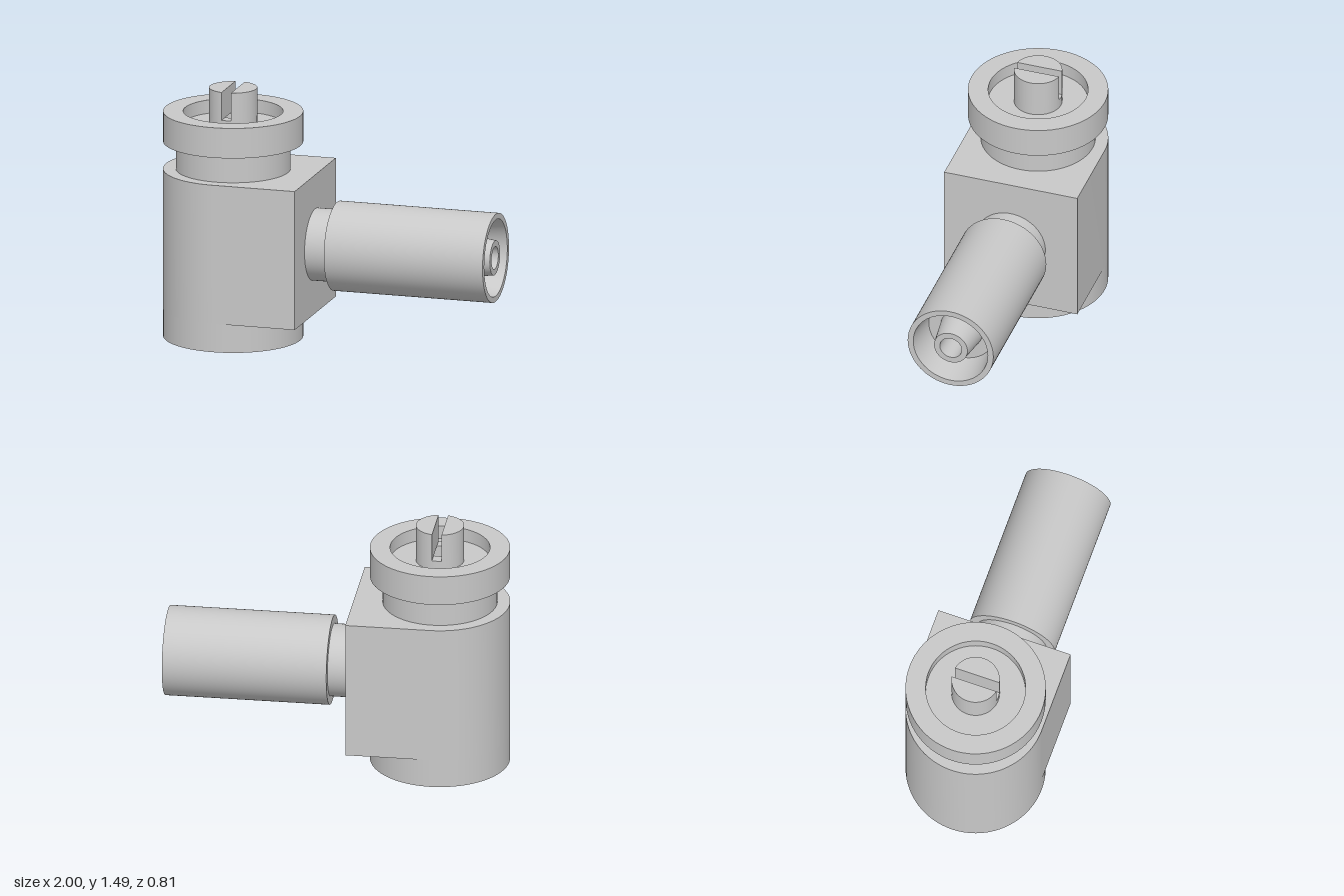
import * as THREE from 'three';
import { mergeGeometries, toCreasedNormals } from 'three/addons/utils/BufferGeometryUtils.js';

const AXIS_X = -0.593; // vertical axis of the body
const ARM_Y = 0.585;   // height of the side arm axis
const R = 0.407;       // body radius

// Turned part with crisp edges: one lathe band per profile segment
function turned(profile) {
  const bands = [];
  for (let i = 0; i < profile.length - 1; i++) {
    const pair = [profile[i], profile[i + 1]].map(([r, y]) => new THREE.Vector2(r, y));
    bands.push(new THREE.LatheGeometry(pair, 72));
  }
  return mergeGeometries(bands);
}

// Plan outline extruded upward from y0 to y1
function upright(shape, y0, y1) {
  const g = new THREE.ExtrudeGeometry(shape, { depth: y1 - y0, bevelEnabled: false, curveSegments: 48 });
  g.rotateX(-Math.PI / 2);
  g.translate(0, y0, 0);
  return toCreasedNormals(g, 0.5);
}

export function createModel() {
  const model = new THREE.Group();
  model.name = 'angleConnector';
  const metal = new THREE.MeshStandardMaterial({ color: 0xc8c8c8 });
  metal.name = 'light grey metal';

  const add = (name, geometry, parent) => {
    const mesh = new THREE.Mesh(geometry, metal);
    mesh.name = name;
    parent.add(mesh);
  };

  // Everything turned about the vertical axis
  const column = new THREE.Group();
  column.name = 'column';
  column.position.x = AXIS_X;
  model.add(column);

  // Body block: half round at the far side, square toward the arm
  const block = new THREE.Shape();
  block.moveTo(0, -R);
  block.lineTo(0.498, -R);
  block.lineTo(0.498, R);
  block.lineTo(0, R);
  block.absarc(0, 0, R, Math.PI / 2, Math.PI * 1.5, false);
  const bore = new THREE.Path();
  bore.absarc(0, 0, 0.235, 0, Math.PI * 2, true);
  block.holes.push(bore);
  add('bodyBlock', upright(block, 0.17, 1), column);

  // Round foot with a wider socket
  add('foot', turned([[0.31, 0.17], [0.31, 0], [R, 0], [R, 0.17]]), column);

  // Neck and collar with a recessed top, and the bore ceiling below
  add('collar', turned([
    [0.333, 1], [0.333, 1.165], [R, 1.165], [R, 1.345], [0.29, 1.345],
    [0.29, 1.265], [0.14, 1.265], [0.14, 1.32], [0.07, 1.32], [0.07, 1.16],
    [0.235, 1.16], [0.235, 1],
  ]), column);

  // Slotted pin: two round-backed prongs
  const half = Math.acos(0.028 / 0.14);
  for (const [name, mid] of [['leftProng', 0], ['rightProng', Math.PI]]) {
    const prong = new THREE.Shape();
    prong.absarc(0, 0, 0.14, mid - half, mid + half, false);
    prong.closePath();
    add(name, upright(prong, 1.32, 1.487), column);
  }

  // Side arm: neck, sleeve, tapered socket and hollow tapered contact
  const arm = new THREE.Group();
  arm.name = 'sideArm';
  arm.position.y = ARM_Y;
  arm.rotation.z = -Math.PI / 2;
  model.add(arm);
  add('armNeck', turned([[0.212, -0.097], [0.212, 0.037]]), arm);
  add('armSleeve', turned([
    [0.212, 0.037], [0.262, 0.037], [0.262, 1], [0.228, 1], [0.2, 0.8], [0.128, 0.8],
  ]), arm);
  add('contact', turned([
    [0.128, 0.8], [0.102, 0.995], [0.067, 0.995], [0.067, 0.83], [0, 0.83],
  ]), arm);

  return model;
}
